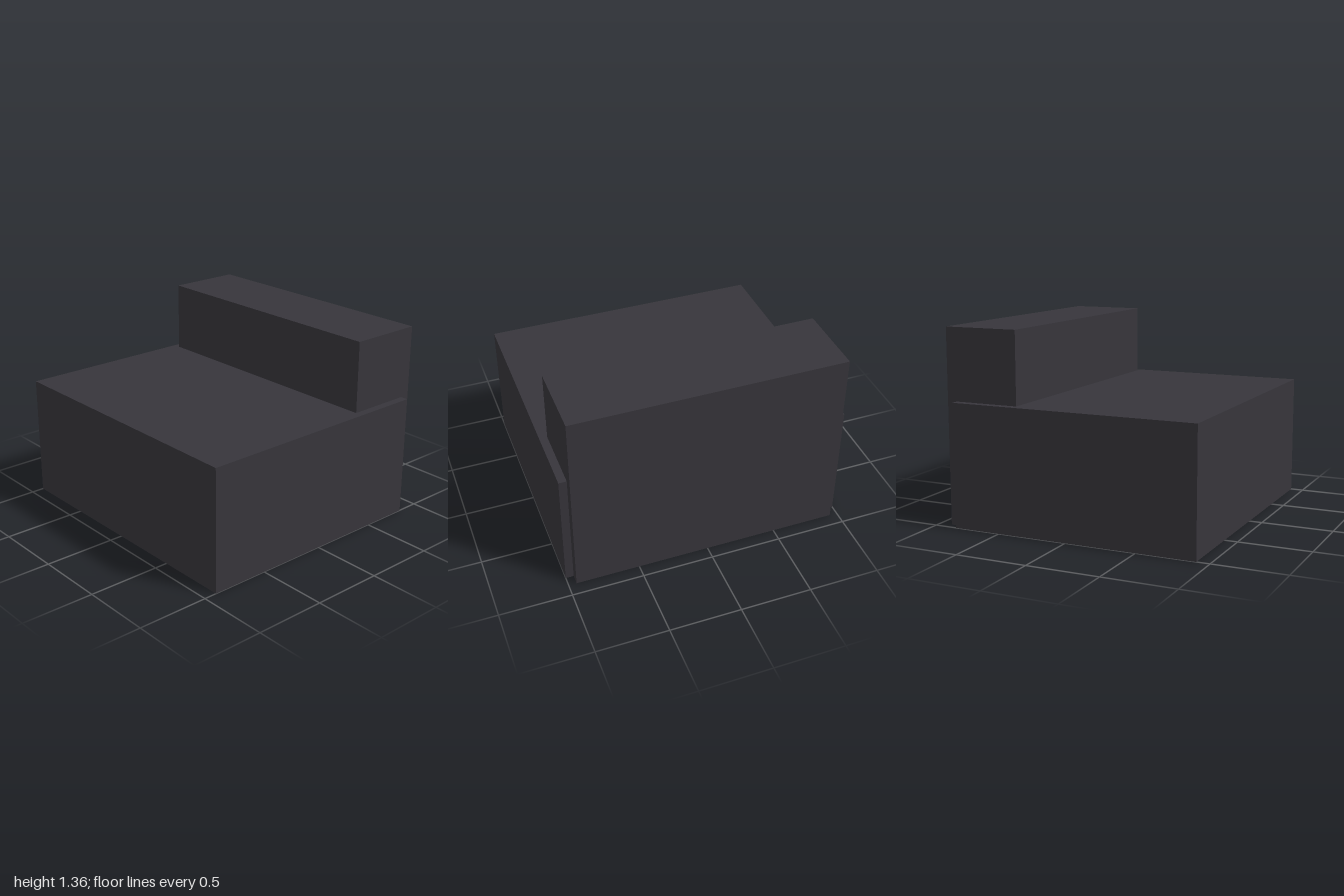
import * as THREE from 'three';

export function createModel() {
  const model = new THREE.Group();
  model.name = 'armlessSofaSeat';

  const charcoal = new THREE.MeshStandardMaterial({ color: 0x37353b });
  charcoal.name = 'charcoal fabric';

  // Box given by its width and its y and z ranges, centred on x = 0
  function addBlock(name, width, y0, y1, z0, z1) {
    const mesh = new THREE.Mesh(new THREE.BoxGeometry(width, y1 - y0, z1 - z0), charcoal);
    mesh.position.set(0, (y0 + y1) / 2, (z0 + z1) / 2);
    mesh.name = name;
    model.add(mesh);
  }

  // Deep seat block
  addBlock('seat', 2, 0, 0.86, -0.84, 0.91);
  // Slightly narrower backrest, reaching the floor behind the seat
  addBlock('backrest', 1.89, 0, 1.36, -0.91, -0.38);

  return model;
}
